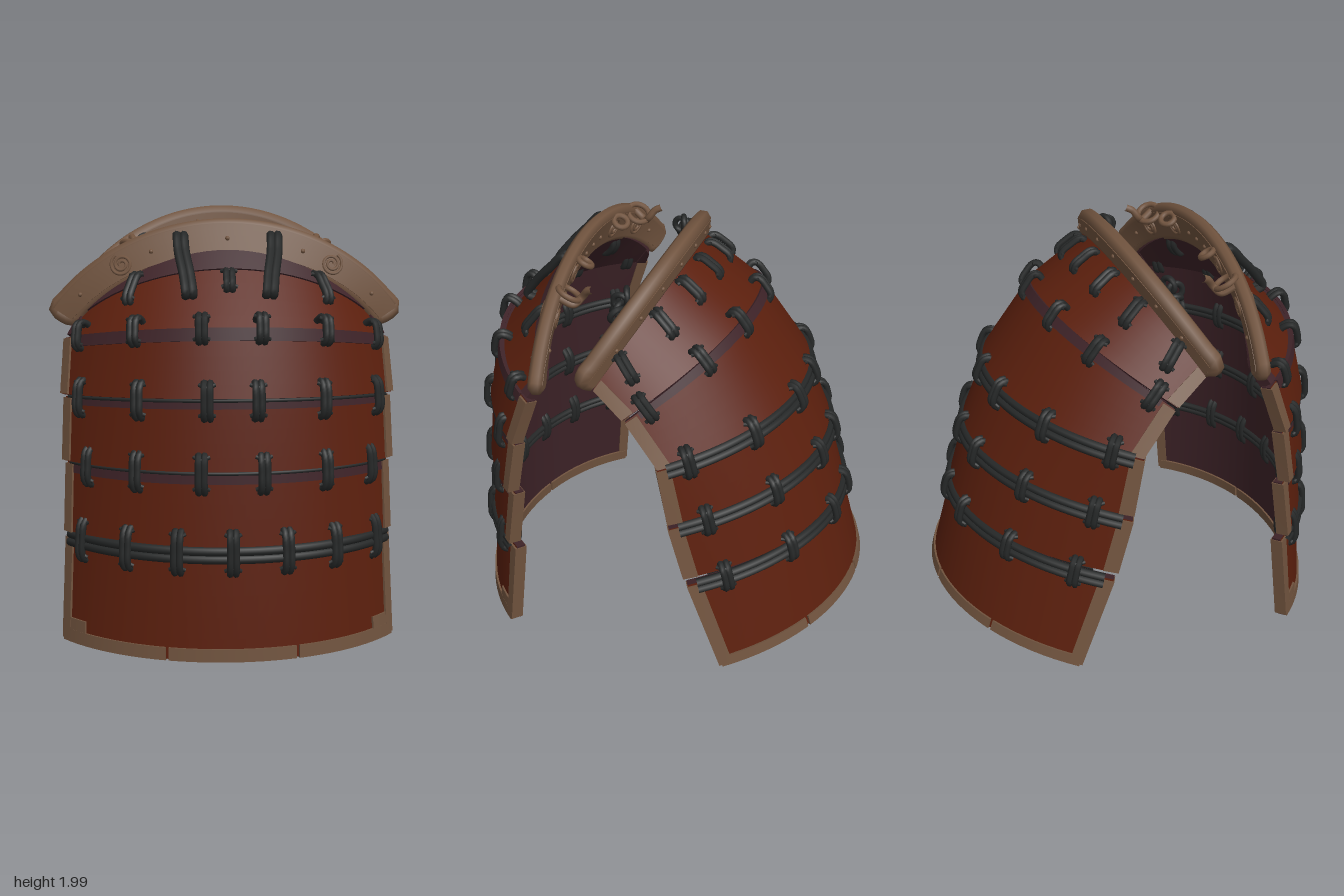
import * as THREE from 'three';

const mat = (name, color) => {
  const m = new THREE.MeshStandardMaterial({ color });
  m.name = name;
  return m;
};
const rust = mat('rust lacquer', 0x5b1f0d);
const tan = mat('tan leather', 0x70533e);
const cord = mat('charcoal cord', 0x252727);
const plum = mat('plum lining', 0x3e2328);

const V = (x, y, z) => new THREE.Vector3(x, y, z);
const ANGLE = 0.96;

// A row is a curved band between two arcs, each [halfWidth, yCentre, zCentre, yEnd, zEnd].
// dir is 1 for the chest and -1 for the back, so the normal always points outward.
const row = (dir, bottom, top) => ({ dir, bottom, top });

function surf(r, s, t) {
  const e = r.bottom.map((b, i) => b + (r.top[i] - b) * t);
  const d = (Math.cos(s * ANGLE) - Math.cos(ANGLE)) / (1 - Math.cos(ANGLE));
  return V(r.dir * e[0] * Math.sin(s * ANGLE) / Math.sin(ANGLE), e[3] + (e[1] - e[3]) * d, e[4] + (e[2] - e[4]) * d);
}
function frame(r, s, t) {
  const h = 0.01;
  const side = surf(r, s + h, t).sub(surf(r, s - h, t)).normalize();
  const up = surf(r, s, t + h).sub(surf(r, s, t - h));
  const n = side.clone().cross(up).normalize();
  return { p: surf(r, s, t), side, n, up: n.clone().cross(side) };
}
function at(r, s, t, off = 0, lift = 0) {
  const f = frame(r, s, t);
  return f.p.addScaledVector(f.n, off).addScaledVector(f.up, lift);
}

// Closed slab over part of a row; groups are outside, inside and edges
function slab(name, r, [s0, s1], [t0, t1], outer, inner, mats) {
  const pos = [], idx = [], geo = new THREE.BufferGeometry();
  const ns = Math.max(2, Math.ceil((s1 - s0) * 16)), nt = 5;
  const S = (u) => s0 + (s1 - s0) * u, T = (v) => t0 + (t1 - t0) * v, O = (w) => inner + (outer - inner) * w;
  const grid = (nu, nv, f, group) => {
    const base = pos.length / 3, start = idx.length;
    for (let i = 0; i <= nu; i++) for (let j = 0; j <= nv; j++) pos.push(...at(r, ...f(i / nu, j / nv)).toArray());
    for (let i = 0; i < nu; i++) for (let j = 0; j < nv; j++) {
      const a = base + i * (nv + 1) + j, b = a + nv + 1;
      idx.push(a, b, b + 1, a, b + 1, a + 1);
    }
    geo.addGroup(start, idx.length - start, group);
  };
  grid(ns, nt, (u, v) => [S(u), T(v), outer], 0);
  grid(ns, nt, (u, v) => [S(1 - u), T(v), inner], 1);
  grid(ns, 1, (u, w) => [S(u), t0, O(w)], 2);
  grid(ns, 1, (u, w) => [S(1 - u), t1, O(w)], 2);
  grid(nt, 1, (v, w) => [s1, T(v), O(w)], 2);
  grid(nt, 1, (v, w) => [s0, T(1 - v), O(w)], 2);
  geo.setAttribute('position', new THREE.Float32BufferAttribute(pos, 3));
  geo.setIndex(idx);
  geo.computeVertexNormals();
  const m = new THREE.Mesh(geo, mats);
  m.name = name;
  return m;
}
function tube(name, pts, radius, material, closed = false, n = 40) {
  const curve = new THREE.CatmullRomCurve3(pts, closed, 'centripetal');
  const m = new THREE.Mesh(new THREE.TubeGeometry(curve, n, radius, 7, closed), material);
  m.name = name;
  return m;
}
function place(obj, r, s, t, off, tilt = 0) {
  const f = frame(r, s, t);
  obj.quaternion.setFromRotationMatrix(new THREE.Matrix4().makeBasis(f.side, f.up, f.n));
  obj.rotateZ(tilt);
  obj.position.copy(f.p).addScaledVector(f.n, off);
  return obj;
}
const across = (r, t, off, lift, lim = 0.96) =>
  Array.from({ length: 25 }, (_, i) => at(r, lim * (i / 12 - 1), t, off, lift));

// Pair of cords looped around a seam, with a small crossing tie
function strap(h, depth) {
  const g = new THREE.Group();
  g.name = 'strap';
  for (const x of [-0.013, 0.013]) {
    const loop = [[-h, -0.005], [-h * 0.7, depth * 0.8], [0, depth], [h * 0.7, depth * 0.8], [h, -0.005], [h * 0.6, -0.06], [-h * 0.6, -0.06]];
    g.add(tube('strapCord', loop.map(([y, z]) => V(x, y, z)), 0.016, cord, true, 28));
  }
  for (const y of [-0.75, 0.8]) {
    g.add(tube('tie', [V(-0.036, h * y * 1.1, 0.004), V(0, h * y * 0.9, depth * 0.85), V(0.036, h * y * 1.1, 0.004)], 0.009, cord, false, 8));
  }
  return g;
}
function straps(parent, r, xs, h, depth, t = 1, fan = 0) {
  for (const x of xs) for (const sgn of x ? [-1, 1] : [1]) {
    const s = Math.asin(x * Math.sin(ANGLE) / r.top[0]) / ANGLE * sgn;
    parent.add(place(strap(h, depth), r, s, t, 0.008, s * fan));
  }
}

// One lacquered plate with its raised edging
function plate(name, r, edge = tan) {
  const g = new THREE.Group();
  g.name = name;
  g.add(slab('plateBody', r, [-1, 1], [0, 1], 0, -0.045, [rust, plum, plum]));
  for (const s of [[-1.005, -0.94], [0.94, 1.005]]) {
    g.add(slab('sideEdging', r, s, [0.01, 0.98], 0.01, -0.052, [edge, edge, edge]));
  }
  return g;
}
function hem(parent, r, cuts, height) {
  for (let i = 0; i + 1 < cuts.length; i++) {
    parent.add(slab('hemEdging', r, [cuts[i] + 0.008, cuts[i + 1] - 0.008], [-0.01, height], 0.01, -0.055, [tan, tan, tan]));
  }
}
// Thick rounded collar board
function collar(name, r, half, inset) {
  const g = new THREE.Group();
  g.name = name;
  g.add(slab('collarBoard', r, [-1, 1], [inset, 1 - inset], half, -half, [tan, tan, tan]));
  const lower = across(r, inset, 0, 0, 1), upper = across(r, 1 - inset, 0, 0, 1).reverse();
  g.add(tube('collarRoundedEdge', [...lower, ...upper], half, tan, true, 140));
  return g;
}
function ornament(parent, r, s, off) {
  const pts = Array.from({ length: 36 }, (_, i) => {
    const a = i * 0.4, q = 0.01 + 0.0012 * i;
    return V(q * Math.cos(a) * Math.sign(s), q * Math.sin(a), 0);
  });
  parent.add(place(tube('spiralRelief', pts, 0.008, tan, false, 70), r, s, 0.5, off));
}
function bosses(parent, r, list, off) {
  for (const s of list) {
    const b = new THREE.Mesh(new THREE.SphereGeometry(0.011, 10, 8), tan);
    b.name = 'boss';
    parent.add(place(b, r, s, 0.5, off));
  }
}

export function createModel() {
  const model = new THREE.Group();
  model.name = 'laminatedCuirass';

  // Plates from hem to shoulder
  const front = [
    row(1, [0.765, 0.015, 0.97, 0.015, 0.62], [0.745, 0.5, 0.94, 0.5, 0.57]),
    row(1, [0.75, 0.51, 0.94, 0.52, 0.6], [0.74, 0.85, 0.915, 0.84, 0.555]),
    row(1, [0.755, 0.86, 0.93, 0.85, 0.58], [0.745, 1.17, 0.9, 1.14, 0.53]),
    row(1, [0.76, 1.18, 0.91, 1.15, 0.535], [0.745, 1.48, 0.84, 1.4, 0.45]),
    row(1, [0.73, 1.46, 0.83, 1.41, 0.455], [0.68, 1.8, 0.5, 1.5, 0.4]),
  ];
  const back = [
    row(-1, [0.79, 0.2, -0.975, 0.1, -0.51], [0.78, 0.66, -0.85, 0.56, -0.335]),
    row(-1, [0.785, 0.68, -0.855, 0.6, -0.32], [0.775, 0.98, -0.765, 0.87, -0.24]),
    row(-1, [0.78, 0.99, -0.775, 0.9, -0.24], [0.76, 1.28, -0.64, 1.18, -0.18]),
    row(-1, [0.765, 1.3, -0.655, 1.19, -0.19], [0.73, 1.67, -0.385, 1.39, -0.02]),
    row(-1, [0.735, 1.67, -0.38, 1.4, -0.01], [0.7, 1.87, -0.08, 1.51, 0.14]),
  ];
  const chest = new THREE.Group(), rear = new THREE.Group();
  chest.name = 'chestHalf';
  rear.name = 'backHalf';
  model.add(chest, rear);
  front.forEach((r, i) => chest.add(plate('chestPlate' + (i + 1), r, i === 4 ? plum : tan)));
  back.forEach((r, i) => rear.add(plate('backPlate' + (i + 1), r)));

  // Hems, in separate lengths
  hem(chest, front[0], [-1, -0.33, 0.33, 1], 0.11);
  hem(rear, back[0], [-1, -0.5, 0, 0.5, 1], 0.1);
  for (const s of [[-0.95, -0.82], [0.82, 0.95]]) {
    chest.add(slab('hemCorner', front[0], s, [0.05, 0.22], 0.009, -0.01, [tan, tan, tan]));
  }

  // Lining strips showing at the seams
  for (const [r, parent, from] of [
    [front[1], chest, 0.86], [front[2], chest, 0.88], [front[3], chest, 0.82], [front[4], chest, 0.76], [back[3], rear, 0.9],
  ]) {
    parent.add(slab('liningStrip', r, [-0.93, 0.93], [from, 1.01], 0.008, -0.01, [plum, plum, plum]));
  }

  // Cords running along the seams, outside and inside
  for (const [r, parent, outside] of [
    [front[0], chest, 1], [front[1], chest, 0], [front[2], chest, 0],
    [back[0], rear, 1], [back[1], rear, 1], [back[2], rear, 1],
  ]) {
    if (outside) for (const lift of [-0.028, 0.008]) parent.add(tube('seamCord', across(r, 1, 0.012, lift), 0.02, cord, false, 60));
    else parent.add(tube('seamLine', across(r, 1, 0.006, 0), 0.008, cord, false, 60));
    for (const lift of [-0.015, 0.015]) parent.add(tube('innerCord', across(r, 1, -0.05, lift, 0.9), 0.016, cord, false, 60));
  }

  // Vertical straps over the seams
  straps(chest, front[0], [0, 0.24, 0.46, 0.66], 0.095, 0.022);
  straps(chest, front[1], [0.135, 0.415, 0.63], 0.085, 0.022);
  straps(chest, front[2], [0.11, 0.405, 0.665], 0.08, 0.022);
  straps(chest, front[3], [0.13, 0.42, 0.67], 0.06, 0.02);
  straps(chest, front[4], [0], 0.055, 0.018, 0.62);
  straps(chest, front[4], [0.42], 0.08, 0.018, 0.72, 0.7);
  straps(rear, back[0], [0.12, 0.43, 0.68], 0.07, 0.034);
  straps(rear, back[1], [0.12, 0.43, 0.68], 0.07, 0.034);
  straps(rear, back[2], [0.12, 0.43, 0.68], 0.07, 0.034);
  straps(rear, back[3], [0.17, 0.43, 0.67], 0.065, 0.02);
  straps(rear, back[4], [0, 0.2, 0.4, 0.6], 0.07, 0.018, 0.75, 0.4);

  // Collar boards
  const fc = row(1, [0.69, 1.75, 0.49, 1.47, 0.41], [0.81, 1.94, 0.425, 1.54, 0.375]);
  const bc = row(-1, [0.66, 1.85, -0.04, 1.5, 0.17], [0.72, 2.0, -0.06, 1.59, 0.19]);
  const frontCollar = collar('frontCollar', fc, 0.034, 0.15), backCollar = collar('backCollar', bc, 0.042, 0.27);
  chest.add(frontCollar);
  rear.add(backCollar);
  for (const s of [-0.6, -0.28, 0.28, 0.6]) ornament(frontCollar, fc, s, -0.036);
  for (const s of [-0.57, 0.57]) ornament(frontCollar, fc, s, 0.032);
  bosses(frontCollar, fc, [-0.85, -0.4, 0, 0.4, 0.85], 0.032);
  bosses(frontCollar, fc, [-0.8, -0.44, -0.1, 0, 0.1, 0.44, 0.8], -0.034);
  bosses(backCollar, bc, [-0.8, -0.6, -0.4, -0.2, 0, 0.2, 0.4, 0.6, 0.8], 0.04);
  bosses(backCollar, bc, [-0.7, -0.45, -0.15, 0.15, 0.45, 0.7], -0.042);

  for (const m of [-1, 1]) {
    // Long straps from the front collar to the chest plate
    for (const dx of [-0.016, 0.016]) {
      chest.add(tube('collarStrap', [V(m * 0.215 + dx, 1.84, 0.42), V(m * 0.215 + dx, 1.87, 0.48), V(m * 0.21 + dx, 1.8, 0.55),
        V(m * 0.19 + dx, 1.7, 0.64), V(m * 0.18 + dx, 1.62, 0.69), V(m * 0.18 + dx, 1.6, 0.64)], 0.021, cord));
    }
    // Fastening toggles behind the front collar
    chest.add(tube('hook', [V(m * 0.47, 1.8, 0.39), V(m * 0.45, 1.77, 0.33), V(m * 0.42, 1.8, 0.3), V(m * 0.43, 1.84, 0.27), V(m * 0.44, 1.855, 0.24)], 0.018, tan));
    for (const [x, y, z, q] of [[0.43, 1.81, 0.36, 0.055], [0.22, 1.86, 0.37, 0.035]]) {
      const ring = new THREE.Mesh(new THREE.TorusGeometry(q, 0.014, 8, 20), tan);
      ring.name = 'toggleRing';
      ring.position.set(m * x, y, z);
      ring.rotation.set(1.1, m * 0.3, 0);
      chest.add(ring);
    }
    // Knots on the inside of the back collar
    for (let k = 0; k < 4; k++) {
      const knot = new THREE.Mesh(new THREE.TorusGeometry(0.036, 0.014, 8, 18), cord);
      knot.name = 'cordKnot';
      knot.position.set(m * (0.38 + k * 0.025), 1.82 - k * 0.02, 0.1 + (k % 2) * 0.02);
      knot.rotation.set(k * 0.9, k * 1.1 + 0.4, 0);
      rear.add(knot);
    }
  }
  return model;
}
